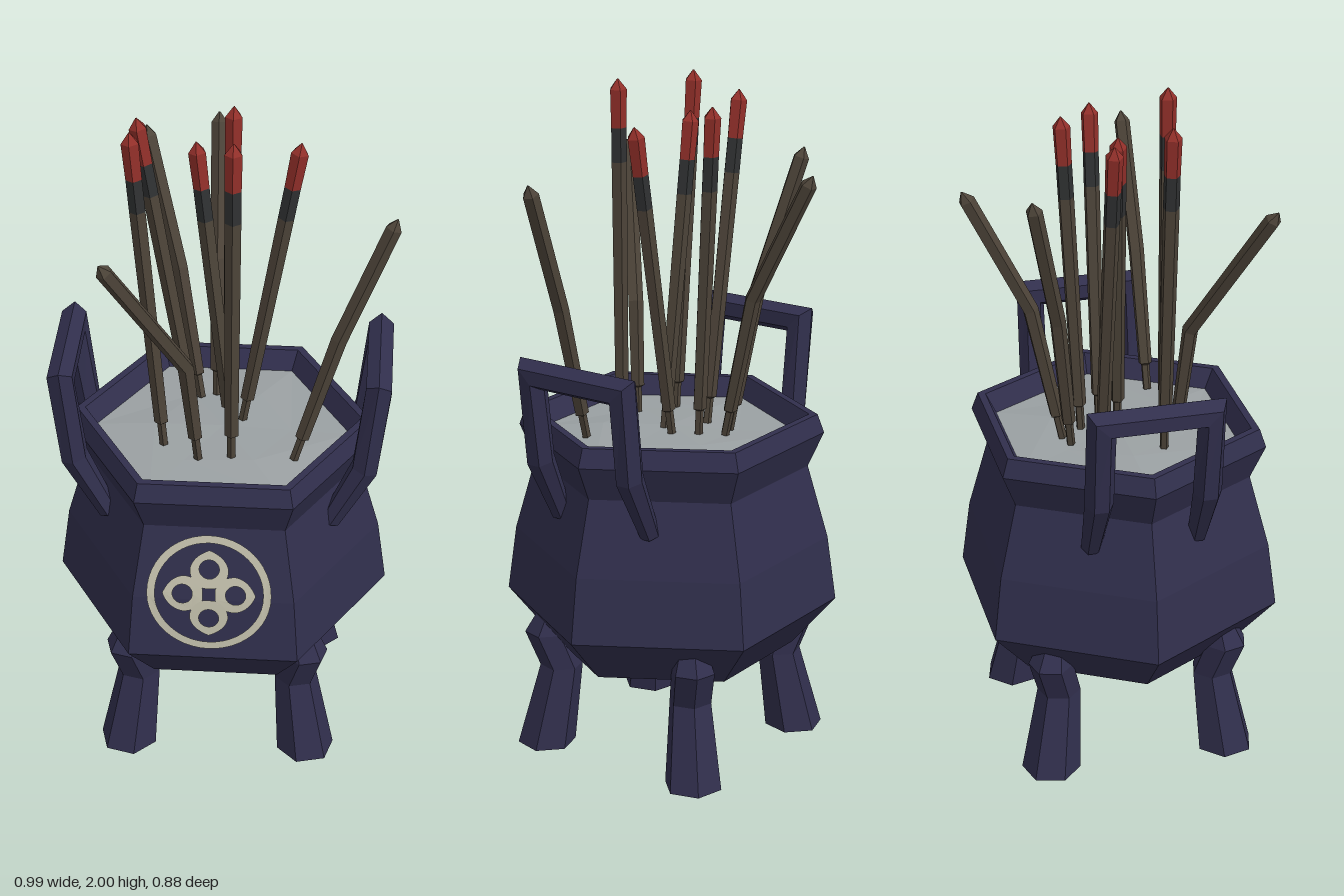
import * as THREE from 'three';

const mat = (name, color) => {
  const m = new THREE.MeshStandardMaterial({ color });
  m.name = name;
  return m;
};
const V = (x, y, z) => new THREE.Vector3(x, y, z);
const CZ = 0.016; // pot centre in z

// Facet a geometry
function flat(geo) {
  const g = geo.index ? geo.toNonIndexed() : geo;
  g.computeVertexNormals();
  return g;
}

// Faceted tube along a path with a radius per point; corners are mitred in the u direction
function sweep(path, radii, sides, ref, fixedTangent) {
  const n = path.length, rings = [], pos = [];
  for (let i = 0; i < n; i++) {
    const a = path[Math.max(i - 1, 0)], b = path[i], c = path[Math.min(i + 1, n - 1)];
    const d1 = (i > 0 ? b.clone().sub(a) : c.clone().sub(b)).normalize();
    const d2 = (i < n - 1 ? c.clone().sub(b) : d1.clone()).normalize();
    const t = fixedTangent ? fixedTangent.clone() : d1.clone().add(d2).normalize();
    const u = ref.clone().cross(t).normalize();
    const v = t.clone().cross(u);
    const miter = fixedTangent ? 1 : 1 / Math.max(t.dot(d1), 0.5);
    const ring = [];
    for (let j = 0; j < sides; j++) {
      const w = (j / sides) * Math.PI * 2;
      ring.push(b.clone()
        .addScaledVector(u, Math.cos(w) * radii[i] * miter)
        .addScaledVector(v, Math.sin(w) * radii[i]));
    }
    rings.push(ring);
  }
  const tri = (...p) => p.forEach(q => pos.push(q.x, q.y, q.z));
  for (let j = 0; j < sides; j++) {
    const k = (j + 1) % sides;
    for (let i = 0; i < n - 1; i++) {
      tri(rings[i][j], rings[i][k], rings[i + 1][k]);
      tri(rings[i][j], rings[i + 1][k], rings[i + 1][j]);
    }
    tri(path[0], rings[0][k], rings[0][j]);
    tri(path[n - 1], rings[n - 1][j], rings[n - 1][k]);
  }
  const g = new THREE.BufferGeometry();
  g.setAttribute('position', new THREE.Float32BufferAttribute(pos, 3));
  return flat(g);
}

const hexLathe = pts => new THREE.LatheGeometry(
  pts.map(p => new THREE.Vector2(p[0], p[1])), 6, Math.PI / 2);

export function createModel() {
  const group = new THREE.Group();
  const navy = mat('navy metal', 0x312f4d);
  const ashMat = mat('pale ash', 0x9ba1a3);
  const cream = mat('cream paint', 0xc4c1ad);
  const brown = mat('brown incense', 0x4d4439);
  const char = mat('charred incense', 0x303233);
  const red = mat('glowing red', 0x93302a);
  const add = (parent, name, geo, m) => {
    const mesh = new THREE.Mesh(geo, m);
    mesh.name = name;
    parent.add(mesh);
    return mesh;
  };

  // Hexagonal pot with flared rim
  const profile = [[0, 0.31], [0.367, 0.31], [0.493, 0.455], [0.466, 0.65], [0.404, 0.87],
    [0.45, 0.975], [0.43, 1.03], [0.405, 1.03], [0.366, 0.96]];
  add(group, 'pot', flat(hexLathe(profile)), navy).position.z = CZ;

  // Uneven ash surface
  const ashGeo = hexLathe([[0.374, 0.972], [0.2, 0.98], [0, 0.985]]);
  const ap = ashGeo.attributes.position;
  for (let i = 0; i < ap.count; i++) {
    const x = ap.getX(i), z = ap.getZ(i);
    if (Math.hypot(x, z) < 0.3) ap.setY(i, ap.getY(i) + 0.014 * Math.sin(17 * x + 29 * z));
  }
  add(group, 'ash', flat(ashGeo), ashMat).position.z = CZ;

  // Four splayed legs
  for (const sx of [1, -1]) for (const sz of [1, -1]) {
    const rows = [[0, 0.27, 0.087], [0.25, 0.236, 0.064], [0.36, 0.266, 0.066], [0.44, 0.25, 0.04]];
    const path = rows.map(([y, c]) => V(sx * c, y, sz * c + CZ));
    add(group, 'leg', sweep(path, rows.map(r => r[2]), 6, V(sx, 0, -sz).normalize(), V(0, 1, 0)), navy);
  }

  // Two upright loop handles
  for (const s of [1, -1]) {
    const post = [[0.325, 0.775], [0.42, 0.965], [0.452, 1.227]];
    const h = 0.157;
    const path = [...post.map(([x, y]) => V(s * x, y, CZ + h)),
      ...post.slice().reverse().map(([x, y]) => V(s * x, y, CZ - h))];
    add(group, 'handle', sweep(path, [0.03, 0.042, 0.042, 0.042, 0.042, 0.03], 6, V(1, 0, 0)), navy);
  }

  // Painted round ornament, laid over the bulge of the front face
  const frontZ = y => {
    const [a, b] = y < 0.65 ? [profile[2], profile[3]] : [profile[3], profile[4]];
    return THREE.MathUtils.mapLinear(y, a[1], b[1], a[0], b[0]) * Math.cos(Math.PI / 6) + CZ;
  };
  const hole = (shape, x, y, r) =>
    shape.holes.push(new THREE.Path().absarc(x, y, r, 0, Math.PI * 2, true));
  const ring = new THREE.Shape().absarc(0, 0, 0.18, 0, Math.PI * 2, false);
  hole(ring, 0, 0, 0.157);
  const shapes = [ring];
  for (let k = 0; k < 4; k++) {
    const w = k * Math.PI / 2, c = Math.cos(w), s = Math.sin(w);
    const P = (r, t) => [r * c - t * s, r * s + t * c];
    const petal = new THREE.Shape();
    petal.moveTo(...P(0.018, -0.016));
    petal.quadraticCurveTo(...P(0.035, -0.055), ...P(0.075, -0.056));
    petal.quadraticCurveTo(...P(0.115, -0.05), ...P(0.135, 0));
    petal.quadraticCurveTo(...P(0.115, 0.05), ...P(0.075, 0.056));
    petal.quadraticCurveTo(...P(0.035, 0.055), ...P(0.018, 0.016));
    petal.closePath();
    hole(petal, ...P(0.077, 0), 0.029);
    shapes.push(petal);
  }
  const ornament = new THREE.ShapeGeometry(shapes, 24);
  ornament.translate(-0.012, 0.67, 0);
  const op = ornament.attributes.position;
  for (let i = 0; i < op.count; i++) op.setZ(i, frontZ(op.getY(i)) + 0.006);
  ornament.computeVertexNormals();
  add(group, 'ornament', ornament, cream);

  // Incense sticks: thin foot, thick coating, pointed end
  const R = 0.024, ref = V(0.3, 0, 1).normalize();
  const along = (a, b, d) => b.clone().addScaledVector(a.clone().sub(b).normalize(), d);
  const stick = (pts, lit) => {
    const g = new THREE.Group();
    g.name = lit ? 'litIncense' : 'incense';
    group.add(g);
    const p = pts.map(q => V(...q)), base = p[0], tip = p[p.length - 1], prev = p[p.length - 2];
    const foot = along(p[1], base, 0.075), foot2 = along(p[1], base, 0.08);
    const start = [base, foot, foot2, ...p.slice(1, -1)];
    const radii = [0.013, 0.013, 0.021, ...p.slice(1, -1).map(() => R)];
    const neck = along(prev, tip, 0.03);
    if (!lit) {
      add(g, 'stick', sweep([...start, neck, tip], [...radii, R, 0.002], 5, ref), brown);
      return;
    }
    const r0 = along(prev, tip, 0.14), c0 = along(prev, tip, 0.24);
    add(g, 'stick', sweep([...start, c0], [...radii, R], 5, ref), brown);
    add(g, 'charredBand', sweep([c0, r0], [R, R], 5, ref), char);
    add(g, 'ember', sweep([r0, neck, tip], [R, R * 1.08, 0.002], 5, ref), red);
  };
  const lit = [
    [-0.09, -0.05, -0.245, 1.95, -0.052], [-0.165, 0.115, -0.247, 1.99, 0.11],
    [0.025, 0.024, -0.075, 1.91, 0], [0.055, -0.025, 0.215, 1.91, -0.012],
    [0.012, -0.09, 0.02, 1.95, -0.14], [0.035, 0.17, 0.04, 2, 0.173],
  ];
  for (const [x0, z0, x, y, z] of lit) stick([[x0, 0.98, z0], [x, y, z]], true);
  stick([[-0.03, 0.98, -0.155], [-0.033, 1.4, -0.245], [-0.042, 1.78, -0.435]], false);
  stick([[-0.075, 0.98, -0.14], [-0.14, 1.4, -0.19], [-0.24, 1.81, -0.28]], false);
  stick([[-0.06, 0.98, 0.18], [-0.09, 1.31, 0.21], [-0.305, 1.74, 0.395]], false);
  stick([[0.215, 0.98, 0.165], [0.335, 1.39, 0.16], [0.485, 1.775, 0.15]], false);

  return group;
}
